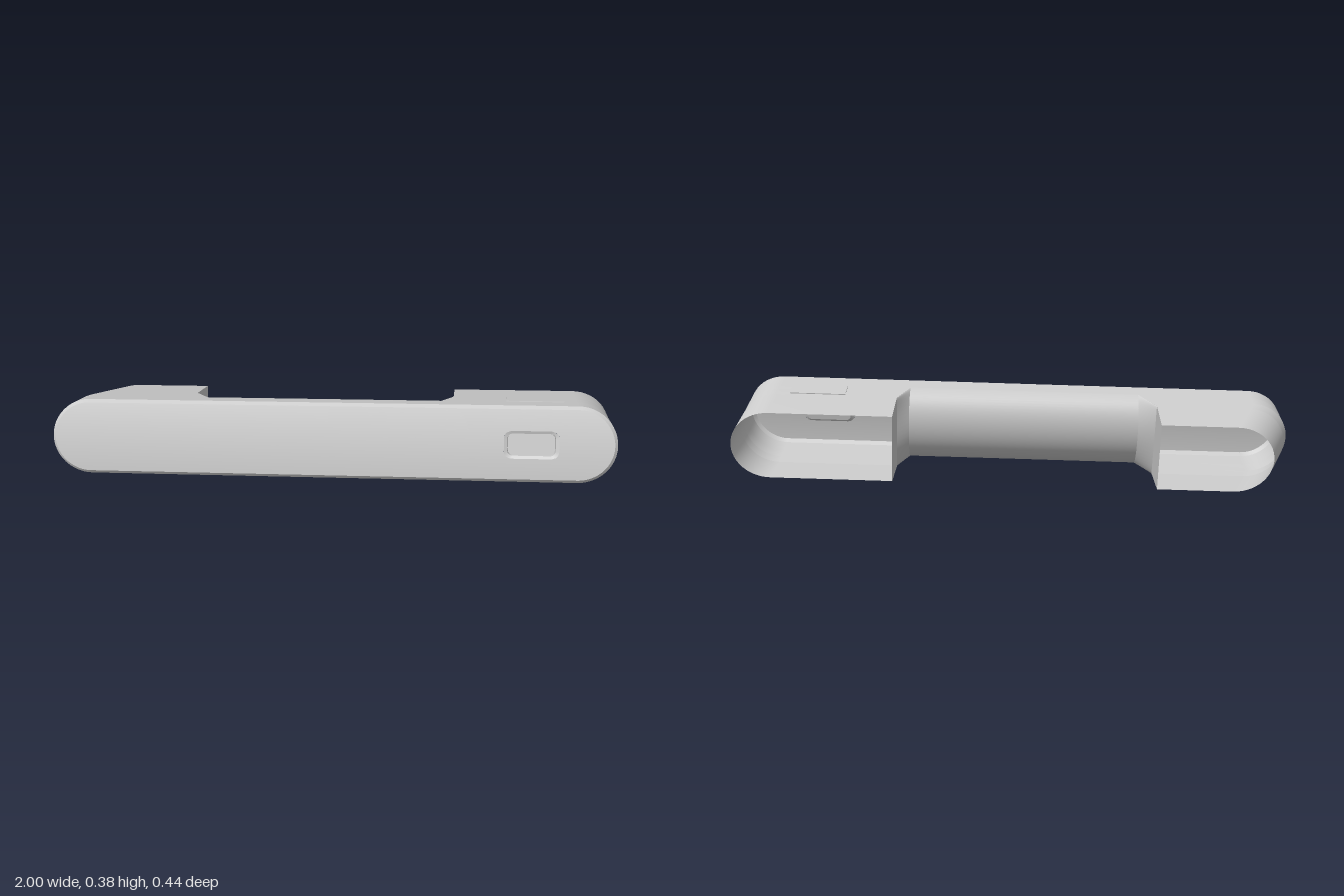
import * as THREE from 'three';
import { mergeGeometries } from 'three/addons/utils/BufferGeometryUtils.js';

const R = 0.135;        // half height of the handle
const L = 0.866;        // centre of the rounded ends
const JOIN = 0.145;     // depth where the front band meets grip and mounts
const KNEE = 0.04;      // depth where the mount walls turn straight back
const BACK = -0.143;    // open rear rim of the mounts

const material = new THREE.MeshStandardMaterial({ color: 0xcccccc, side: THREE.DoubleSide });
const { lerp, clamp } = THREE.MathUtils;

// Skin between rows of [x, y, z] points; smooth, or creased at every row
function loft(rows, smooth = false) {
  if (!smooth && rows.length > 2) {
    return mergeGeometries(rows.slice(1).map((row, i) => loft([rows[i], row])));
  }
  const n = rows[0].length, index = [];
  for (let r = 0; r < rows.length - 1; r++) {
    for (let i = 0; i < n - 1; i++) {
      const a = r * n + i, b = a + n;
      index.push(a, b, a + 1, a + 1, b, b + 1);
    }
  }
  const geometry = new THREE.BufferGeometry();
  geometry.setAttribute('position', new THREE.Float32BufferAttribute(rows.flat(2), 3));
  geometry.setIndex(index);
  geometry.computeVertexNormals();
  return geometry;
}

const range = (n, f) => Array.from({ length: n + 1 }, (_, i) => f(i / n));
const crown = (y) => -0.011 * (y / R) ** 2;

// Closed stadium outline, starting mid-way along the top
function stadium(r, zOf) {
  const points = [[0, r]];
  for (const side of [1, -1]) {
    range(24, (t) => {
      const a = side * Math.PI / 2 - side * Math.PI * t;
      points.push([side * (L + r * Math.cos(a)), r * Math.sin(a)]);
    });
    points.push([0, -side * r]);
  }
  // the second end is walked from the bottom up
  const right = points.slice(0, 27), left = points.slice(27);
  return [...right, ...left].map(([x, y]) => [x, y, zOf(y)]);
}

// Closed rounded rectangle
function roundedRect(cx, hw, hh, r, zOf) {
  const points = [];
  [[1, 1], [-1, 1], [-1, -1], [1, -1]].forEach(([sx, sy], k) => range(6, (t) => {
    const a = (k + t) * Math.PI / 2;
    const y = sy * (hh - r) + r * Math.sin(a);
    points.push([cx + sx * (hw - r) + r * Math.cos(a), y, zOf(y)]);
  }));
  return [...points, points[0]];
}

// Rear mount: underside rises and the outer end may taper toward the back
const squeeze = (t, z) => {
  const lift = 0.028 * clamp((KNEE - z) / (KNEE - BACK), 0, 1);
  return t * (R - lift / 2) + lift / 2;
};

function mountGeometry(side, innerFront, innerBack, taper) {
  const section = (z) => {
    const inner = lerp(innerBack, innerFront, clamp((z - KNEE) / (JOIN - KNEE), 0, 1));
    const shift = taper * clamp((0.09 - z) / (0.09 - BACK), 0, 1);
    const arc = range(24, (t) => {
      const a = Math.PI / 2 - Math.PI * t;
      return [L - shift + R * Math.cos(a), Math.sin(a)];
    });
    return [[inner, 1], ...arc, [inner, -1]].map(([x, t]) =>
      [side * x, squeeze(t, z), z + (z === BACK ? 0.007 * t : 0)]);
  };
  return loft([JOIN, 0.09, KNEE, BACK].map(section));
}

const gripDepth = (a) => JOIN - 0.09 * Math.cos(a);
const halfTurn = (t) => (t - 0.5) * Math.PI;

// Inner wall of a mount, following the curved back of the grip
function wallGeometry(side, innerFront, innerBack) {
  const row = (x, zOf) => range(24, (t) => {
    const a = halfTurn(t), s = Math.sin(a), z = zOf(a);
    return [side * x, squeeze(s, z), z];
  });
  return loft([
    row(innerFront, gripDepth),
    row(innerBack, () => KNEE),
    row(innerBack, (a) => BACK + 0.007 * Math.sin(a)),
  ]);
}

export function createModel() {
  const handle = new THREE.Group();
  handle.name = 'doorHandle';
  const add = (name, geometry) => {
    const mesh = new THREE.Mesh(geometry, material);
    mesh.name = name;
    handle.add(mesh);
    return mesh;
  };

  // Front band and its bevelled edge
  const rim = R - 0.011;
  add('frontBand', loft([
    stadium(R, () => JOIN),
    stadium(R, (y) => 0.229 + crown(y)),
    stadium(rim, (y) => 0.24 + crown(y)),
  ]));

  // Crowned front face in four patches around the recess
  const faceZ = (y) => 0.24 + crown(y);
  const cx = 0.706, hw = 0.095, hh = 0.049, corner = 0.026;
  const edge = (y) => L + Math.sqrt(Math.max(0, rim * rim - y * y));
  const holeHalf = (y) => {
    const d = Math.max(0, Math.abs(y) - (hh - corner));
    return hw - corner + Math.sqrt(Math.max(0, corner * corner - d * d));
  };
  const patch = (y0, y1, left, right) => loft(range(20, (t) => {
    const a = lerp(Math.asin(y0 / rim), Math.asin(y1 / rim), t);
    const y = rim * Math.sin(a);
    return range(4, (u) => [lerp(left(y), right(y), u), y, faceZ(y)]);
  }), true);
  add('frontFace', mergeGeometries([
    patch(-rim, -hh, (y) => -edge(y), edge),
    patch(hh, rim, (y) => -edge(y), edge),
    patch(-hh, hh, (y) => -edge(y), (y) => cx - holeHalf(y)),
    patch(-hh, hh, (y) => cx + holeHalf(y), edge),
  ]));

  // Shallow recess with sloped sides and a flat floor
  const floorRow = roundedRect(cx, hw - 0.014, hh - 0.012, 0.016, () => 0.222);
  add('recess', loft([
    roundedRect(cx, hw, hh, corner, faceZ),
    roundedRect(cx, hw - 0.012, hh - 0.01, 0.018, (y) => faceZ(y) - 0.005),
    floorRow,
    floorRow.map(() => [cx, 0, 0.222]),
  ]));

  // Rounded back of the grip between the mounts
  add('grip', loft(range(32, (t) => {
    const a = halfTurn(t);
    return [-0.45, 0.39].map((x) => [x, R * Math.sin(a), gripDepth(a)]);
  }), true));

  // Hollow rear mounts, open at the back
  for (const [name, side, front, back, taper] of [
    ['left', 1, 0.39, 0.432, 0],
    ['right', -1, 0.45, 0.51, 0.085],
  ]) {
    add(name + 'Mount', mountGeometry(side, front, back, taper));
    add(name + 'MountWall', wallGeometry(side, front, back));
  }

  // Thin pad on top of the left mount
  add('topPad', new THREE.BoxGeometry(0.2, 0.006, 0.083)).position.set(0.72, R, 0.094);

  // Lean back and rise slightly toward the left end
  handle.rotation.set(-0.265, 0, 0.033, 'XYZ');
  handle.position.set(0, 0.171, -0.046);
  const model = new THREE.Group();
  model.name = 'handleModel';
  model.add(handle);
  return model;
}
